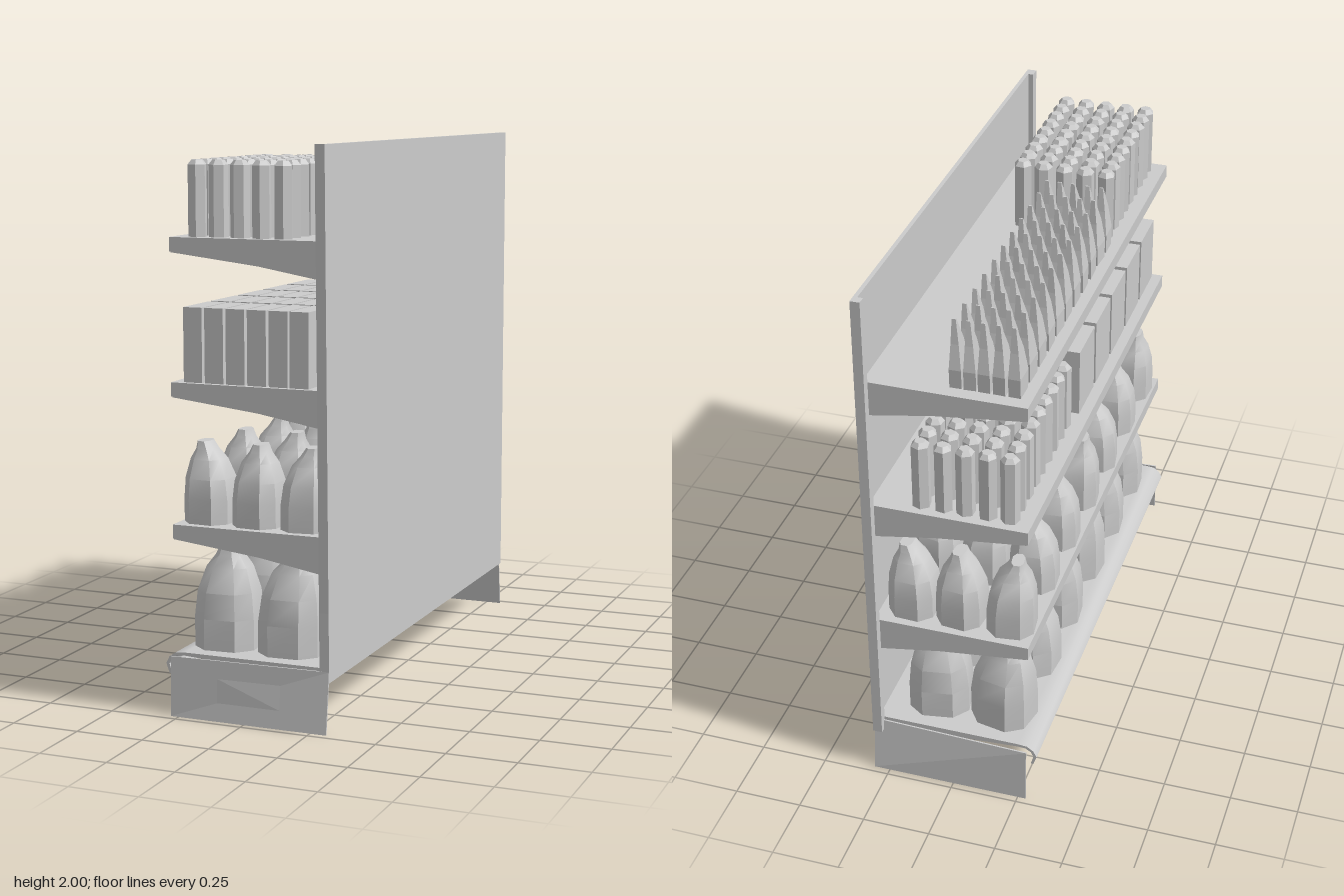
import * as THREE from 'three';
import { toCreasedNormals } from 'three/addons/utils/BufferGeometryUtils.js';

const grey = new THREE.MeshStandardMaterial({ color: 0xcccccc, side: THREE.DoubleSide });
const facet = new THREE.MeshStandardMaterial({ color: 0xcccccc, side: THREE.DoubleSide, flatShading: true });

// small seeded jitter in the range -1..1
let seed = 7;
const jitter = () => {
  seed = (seed * 16807) % 2147483647;
  return (seed / 2147483647) * 2 - 1;
};

function add(parent, name, geometry, material, x = 0, y = 0, z = 0) {
  const mesh = new THREE.Mesh(geometry, material);
  mesh.name = name;
  mesh.position.set(x, y, z);
  parent.add(mesh);
  return mesh;
}

// box given by its limits
function block(parent, name, [x0, x1], [y0, y1], [z0, z1]) {
  return add(parent, name, new THREE.BoxGeometry(x1 - x0, y1 - y0, z1 - z0), facet,
    (x0 + x1) / 2, (y0 + y1) / 2, (z0 + z1) / 2);
}

// closed loft through rounded-square rings: [y, halfX, halfZ, offsetX, offsetZ]
function loft(rings, sides, power = 1) {
  const pos = [], index = [];
  const bend = (v) => Math.sign(v) * Math.pow(Math.abs(v), power);
  for (const [y, hx, hz, dx = 0, dz = 0] of rings) {
    for (let i = 0; i < sides; i++) {
      const a = ((i + 0.5) / sides) * Math.PI * 2;
      pos.push(dx + hx * bend(Math.cos(a)), y, dz + hz * bend(Math.sin(a)));
    }
  }
  const last = (rings.length - 1) * sides;
  for (let r = 0; r < last; r += sides) {
    for (let i = 0; i < sides; i++) {
      const j = (i + 1) % sides;
      index.push(r + i, r + sides + i, r + j, r + j, r + sides + i, r + sides + j);
    }
  }
  for (let i = 1; i < sides - 1; i++) {
    index.push(0, i, i + 1, last, last + i + 1, last + i);
  }
  const g = new THREE.BufferGeometry();
  g.setAttribute('position', new THREE.Float32BufferAttribute(pos, 3));
  g.setIndex(index);
  return toCreasedNormals(g, 0.75);
}

// rows of goods standing on a shelf
function stock(parent, name, geometries, material, xs, y, [z0, z1], rows, turn) {
  const group = new THREE.Group();
  group.name = name + 's';
  for (let r = 0; r < rows; r++) {
    xs.forEach((x, c) => {
      const z = z0 + ((z1 - z0) * r) / (rows - 1);
      const item = add(group, name, geometries[(r * 2 + c) % geometries.length], material, x, y, z);
      item.rotation.y = jitter() * turn;
    });
  }
  parent.add(group);
}

// paper bag: square foot, bulging body, pinched and leaning top
function bagGeometry(w, h, d, lean) {
  return loft([
    [0, 0.5 * w, 0.5 * d],
    [0.3 * h, 0.5 * w, 0.5 * d],
    [0.55 * h, 0.46 * w, 0.46 * d, lean * 0.2],
    [0.78 * h, 0.34 * w, 0.33 * d, lean * 0.6],
    [0.9 * h, 0.2 * w, 0.24 * d, lean],
    [h, 0.13 * w, 0.2 * d, lean * 1.5],
  ], 8, 0.75);
}

// extrude an x-y outline along z, centred
function extrudeZ(points, depth) {
  const shape = new THREE.Shape(points.map(([x, y]) => new THREE.Vector2(x, y)));
  return new THREE.ExtrudeGeometry(shape, { depth, bevelEnabled: false }).translate(0, 0, -depth / 2);
}

// shelf board with front lip and tapering end brackets
function shelf(parent, top) {
  const group = new THREE.Group();
  group.name = 'shelf';
  group.position.y = top;
  block(group, 'shelfBoard', [-0.275, 0.295], [-0.012, 0], [-0.94, 0.94]);
  block(group, 'shelfLip', [-0.28, -0.268], [-0.05, 0], [-0.94, 0.94]);
  const outline = [[-0.275, 0], [-0.275, -0.052], [0.05, -0.09], [0.28, -0.13], [0.28, 0]];
  for (const side of [-1, 1]) {
    add(group, 'shelfBracket', extrudeZ(outline, 0.008), facet, 0, 0, side * 0.936);
  }
  parent.add(group);
}

export function createModel() {
  seed = 7;
  const model = new THREE.Group();
  model.name = 'shopShelf';

  // back wall and its edge posts
  block(model, 'backPanel', [0.295, 0.31], [0.175, 2], [-0.945, 0.945]);
  block(model, 'rearPost', [0.275, 0.31], [0.175, 2], [-0.972, -0.94]);
  const post = block(model, 'frontPost', [0.275, 0.31], [0.42, 2], [0.945, 0.978]);
  const p = post.geometry.attributes.position;
  for (let i = 0; i < p.count; i++) {
    if (p.getY(i) < 0 && p.getZ(i) > 0) p.setZ(i, -0.012);
  }
  block(model, 'frontPostCore', [0.275, 0.31], [0.175, 2], [0.935, 0.948]);

  // base tray with rolled front edge
  const tray = [
    [0.295, 0.225], [-0.24, 0.225], [-0.275, 0.222], [-0.3, 0.205], [-0.312, 0.18], [-0.3, 0.145],
    [-0.29, 0.145], [-0.3, 0.18], [-0.29, 0.2], [-0.27, 0.212], [-0.24, 0.214], [0.295, 0.18],
  ];
  const trayGeometry = toCreasedNormals(extrudeZ(tray, 1.88), 0.7);
  add(model, 'baseTray', trayGeometry, grey);

  // end skirts, leaning outwards towards the floor
  for (const side of [-1, 1]) {
    const skirt = block(model, 'endSkirt', [-0.28, 0.31], [0, 0.215], [-0.003, 0.003]);
    const q = skirt.geometry.attributes.position;
    for (let i = 0; i < q.count; i++) {
      const low = q.getY(i) < 0;
      const outward = low ? 0.972 : q.getX(i) < 0 ? 0.965 : 0.945;
      q.setZ(i, side * outward + q.getZ(i));
    }
    skirt.geometry.computeVertexNormals();
  }

  // upper shelves
  for (const top of [0.68, 1.18, 1.68]) shelf(model, top);

  // large bags on the base, smaller bags above
  const large = [-0.02, 0.005, 0.02].map((lean) => bagGeometry(0.235, 0.37, 0.22, lean));
  stock(model, 'largeBag', large, grey, [-0.14, 0.105], 0.225, [-0.78, 0.78], 6, 0.2);
  const small = [-0.015, 0.004, 0.015].map((lean) => bagGeometry(0.18, 0.285, 0.19, lean));
  stock(model, 'smallBag', small, grey, [-0.185, 0, 0.18], 0.68, [-0.82, 0.82], 7, 0.2);

  // cartons and canisters on the third shelf
  const carton = new THREE.BoxGeometry(0.07, 0.26, 0.2).translate(0, 0.13, 0);
  const cartonColumns = [-0.205, -0.125, -0.045, 0.035, 0.115, 0.192];
  stock(model, 'carton', [carton], facet, cartonColumns, 1.18, [-0.07, 0.82], 5, 0);
  const canister = loft([[0, 0.034, 0.034], [0.245, 0.034, 0.034], [0.262, 0.02, 0.02]], 6);
  const columns = [-0.2, -0.12, -0.04, 0.04, 0.12];
  stock(model, 'canister', [canister], facet, columns, 1.18, [-0.88, -0.26], 9, 0.5);

  // canisters and pointed pouches on the top shelf
  stock(model, 'canister', [canister], facet, columns, 1.68, [0.3, 0.88], 9, 0.5);
  const pouch = loft([
    [0, 0.03, 0.055],
    [0.07, 0.03, 0.06],
    [0.16, 0.02, 0.038, 0.004],
    [0.25, 0.01, 0.004, 0.008, -0.015],
  ], 4);
  const pouchColumns = [-0.22, -0.168, -0.115, -0.063, -0.015];
  stock(model, 'pouch', [pouch], facet, pouchColumns, 1.68, [-0.85, 0.2], 11, 0.08);

  return model;
}
